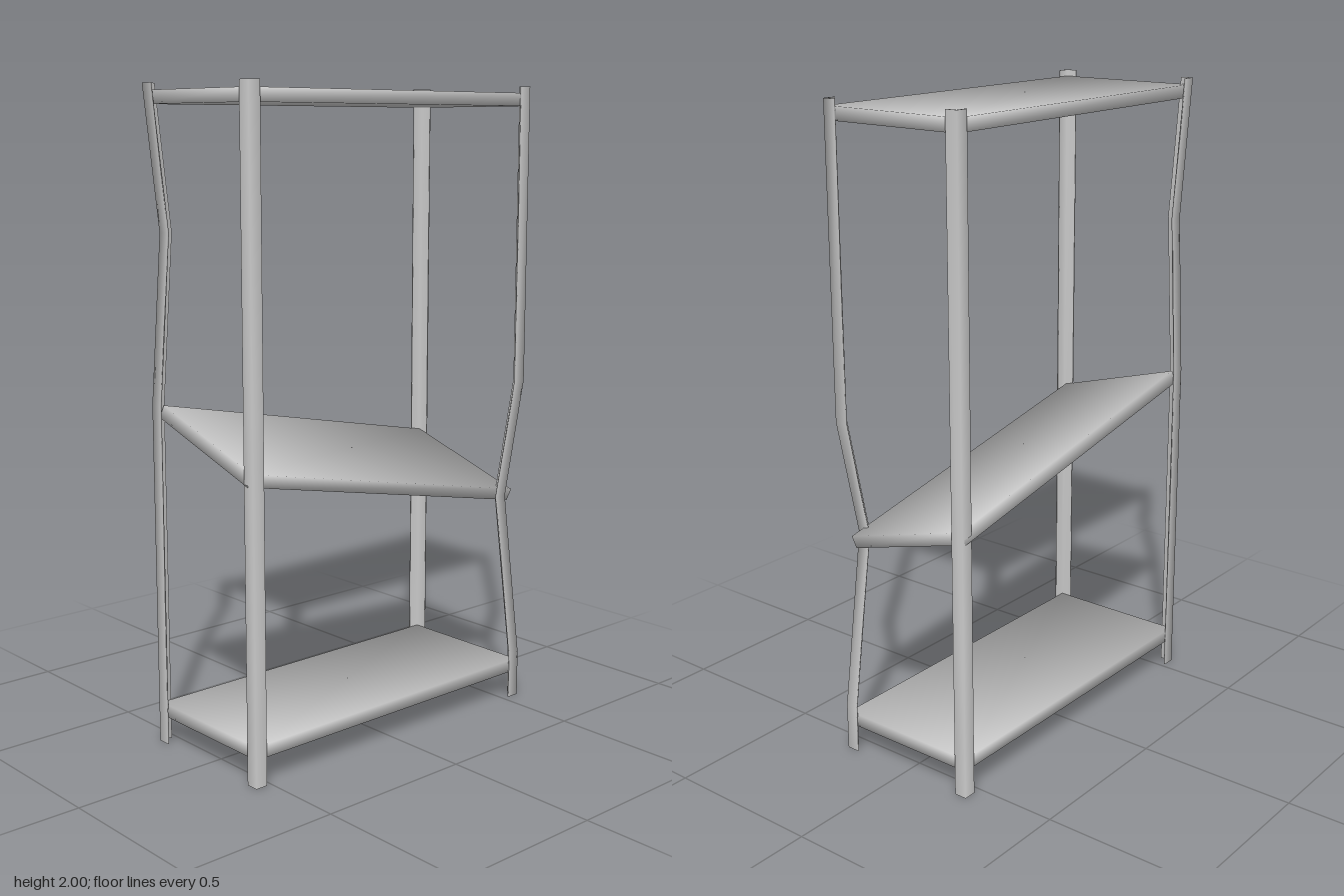
import * as THREE from 'three';
import { mergeVertices } from 'three/addons/utils/BufferGeometryUtils.js';

const T = 0.005; // sheet thickness of the posts
const W = 0.04; // flange width of the posts
const material = new THREE.MeshStandardMaterial({ color: 0xcccccc });

// Slab with soft shading that rolls over its edges
function shelfGeometry() {
  let geo = new THREE.BoxGeometry(1.11, 0.04, 0.468);
  geo.deleteAttribute('normal');
  geo.deleteAttribute('uv');
  geo = mergeVertices(geo);
  const p = geo.attributes.position;
  const normals = [];
  const n = new THREE.Vector3();
  for (let i = 0; i < p.count; i++) {
    n.set(Math.sign(p.getX(i)), Math.sign(p.getY(i)), Math.sign(p.getZ(i))).normalize();
    normals.push(n.x, n.y, n.z);
  }
  geo.setAttribute('normal', new THREE.Float32BufferAttribute(normals, 3));
  return geo;
}

// L-section post lofted through levels [height, sideways shift];
// sx and sz tell which corner of the frame its outer edge points to
function postGeometry(sx, sz, levels) {
  const section = [[0, 0], [-W, 0], [-W, -T], [-T, -T], [-T, -W], [0, -W]];
  const n = section.length;
  const positions = [];
  const index = [];
  const flip = sx * sz < 0;
  const tri = (a, b, c) => (flip ? index.push(a, c, b) : index.push(a, b, c));

  for (const [y, shift] of levels) {
    for (const [u, v] of section) positions.push(u * sx + shift, y, v * sz);
  }
  for (let k = 0; k < levels.length - 1; k++) {
    for (let i = 0; i < n; i++) {
      const a = k * n + i;
      const b = k * n + ((i + 1) % n);
      tri(a, a + n, b);
      tri(b, a + n, b + n);
    }
  }
  // End caps, fanned from the inner corner of the L
  const top = (levels.length - 1) * n;
  for (const i of [4, 5, 0, 1]) {
    const j = (i + 1) % n;
    tri(3, i, j);
    tri(top + 3, top + j, top + i);
  }

  const geo = new THREE.BufferGeometry();
  geo.setAttribute('position', new THREE.Float32BufferAttribute(positions, 3));
  geo.setIndex(index);
  geo.computeVertexNormals();
  return geo;
}

export function createModel() {
  const model = new THREE.Group();
  model.name = 'damagedShelf';

  const add = (name, geometry, x, y, z) => {
    const mesh = new THREE.Mesh(geometry, material);
    mesh.name = name;
    mesh.position.set(x, y, z);
    model.add(mesh);
    return mesh;
  };

  // Corner posts, two of them buckled
  const straight = [[0, 0], [2, 0]];
  const posts = [
    ['frontLeftPost', 1, 1, [[0, 0], [0.15, 0], [0.7, -0.08], [1.07, 0], [2, 0]]],
    ['frontRightPost', -1, 1, straight],
    ['backLeftPost', 1, -1, straight],
    ['backRightPost', -1, -1, [[0, 0], [1.06, 0], [1.57, 0.04], [2, -0.01]]],
  ];
  for (const [name, sx, sz, levels] of posts) {
    add(name, postGeometry(sx, sz, levels), 0.005 + sx * 0.56, 0, sz * 0.239);
  }

  // Level shelves
  const shelf = shelfGeometry();
  add('topShelf', shelf, 0.005, 1.96, 0);
  add('bottomShelf', shelf, 0.005, 0.105, 0);

  // Fallen middle shelf, sloping to the front and the left
  const middle = add('middleShelf', shelf, 0.003, 0.865, -0.008);
  middle.rotation.set(0.29, 0.01, -0.2, 'ZXY');

  return model;
}
